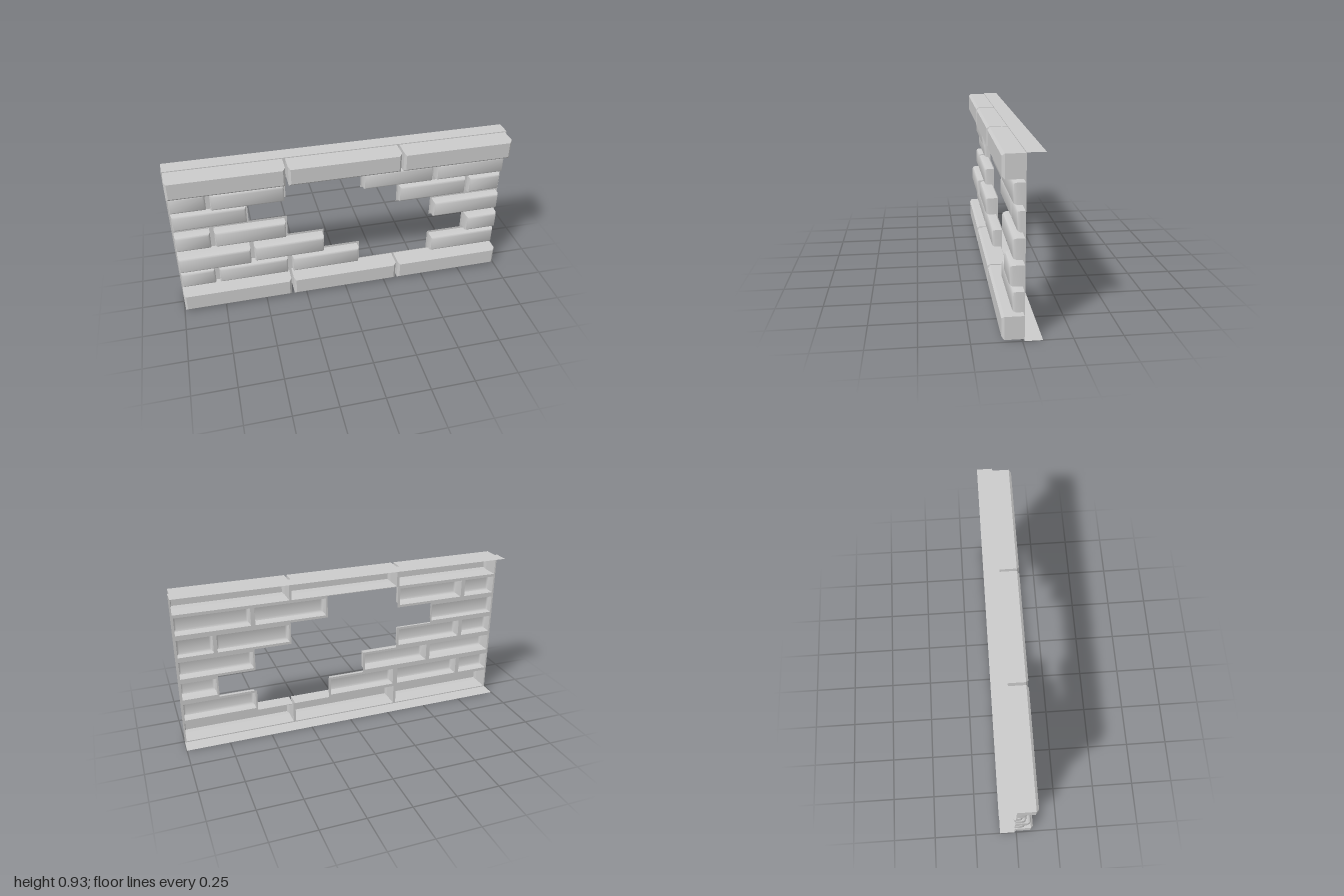
import * as THREE from 'three';
import { toCreasedNormals } from 'three/addons/utils/BufferGeometryUtils.js';

const BACK = -0.01, HEIGHT = 0.925;
const material = new THREE.MeshStandardMaterial({ color: 0xcccccc, side: THREE.DoubleSide });

// Hollow brick, open at the back; profile lists [inset, z] rings from back to front
function brickGeometry(x0, x1, y0, y1, profile, crease) {
  const pos = [], index = [];
  for (const [i, z] of profile) {
    pos.push(x0 + i, y0 + i, z, x1 - i, y0 + i, z, x1 - i, y1 - i, z, x0 + i, y1 - i, z);
  }
  for (let r = 0; r < profile.length - 1; r++) {
    for (let k = 0; k < 4; k++) {
      const a = r * 4 + k, b = r * 4 + (k + 1) % 4;
      index.push(a, b, b + 4, a, b + 4, a + 4);
    }
  }
  const f = (profile.length - 1) * 4;
  index.push(f, f + 1, f + 2, f, f + 2, f + 3);
  const g = new THREE.BufferGeometry();
  g.setAttribute('position', new THREE.Float32BufferAttribute(pos, 3));
  g.setIndex(index);
  return toCreasedNormals(g, crease);
}

function rectPath(x0, x1, y0, y1) {
  return new THREE.Path([[x0, y0], [x0, y1], [x1, y1], [x1, y0]].map(p => new THREE.Vector2(...p)));
}

// Small brick courses, bottom to top: [left edge, right edge, front z]
const courses = [
  [[-0.99, -0.79, 0.05], [-0.765, -0.35, 0.05], [-0.32, 0.095, 0.05], [0.565, 0.985, 0.05]],
  [[-0.99, -0.57, 0.08], [-0.545, -0.127, 0.065], [0.785, 0.985, 0.065]],
  [[-0.99, -0.79, 0.05], [-0.765, -0.35, 0.05], [0.565, 0.985, 0.05]],
  [[-0.99, -0.57, 0.03], [0.345, 0.763, 0.03], [0.785, 0.985, 0.03]],
  [[-0.99, -0.79, 0.05], [-0.765, -0.35, 0.065], [0.12, 0.54, 0.05], [0.565, 0.985, 0.05]],
];
// Left and right edges of the breach beside each course
const breach = [[0.11, 0.555], [-0.115, 0.775], [-0.335, 0.555], [-0.56, 0.335], [-0.335, 0.11]];
const PITCH = 0.1333, FIRST = 0.131;

export function createModel() {
  const group = new THREE.Group();
  const add = (geometry, name) => {
    const mesh = new THREE.Mesh(geometry, material);
    mesh.name = name;
    group.add(mesh);
    return mesh;
  };

  const mortar = new THREE.Shape([[-1, 0], [1, 0], [1, HEIGHT], [-1, HEIGHT]].map(p => new THREE.Vector2(...p)));

  // Small rounded bricks
  courses.forEach((course, row) => {
    const y0 = FIRST + row * PITCH + 0.0145, y1 = y0 + 0.105;
    for (const [x0, x1, z] of course) {
      const profile = [[0, BACK], [0, z - 0.02], [0.005, z - 0.006], [0.015, z]];
      add(brickGeometry(x0, x1, y0, y1, profile, 0.9), 'brick');
      mortar.holes.push(rectPath(x0, x1, y0, y1));
    }
  });

  // Long coping bricks along the top and bottom
  const large = [[0, BACK], [0, 0.087], [0.013, 0.1]];
  for (const [name, y0, y1] of [['baseBrick', 0.006, 0.127], ['copingBrick', 0.801, 0.92]]) {
    for (const [x0, x1] of [[-0.992, -0.342], [-0.326, 0.324], [0.338, 0.99]]) {
      add(brickGeometry(x0, x1, y0, y1, large, 0.5), name);
      mortar.holes.push(rectPath(x0, x1, y0, y1));
    }
  }

  // Stepped breach through the mortar
  const left = [], right = [];
  breach.forEach(([l, r], row) => {
    const y0 = FIRST + row * PITCH, y1 = y0 + PITCH;
    left.push(new THREE.Vector2(l, y0), new THREE.Vector2(l, y1));
    right.push(new THREE.Vector2(r, y0), new THREE.Vector2(r, y1));
  });
  mortar.holes.push(new THREE.Path([...left, ...right.reverse()]));
  add(new THREE.ShapeGeometry(mortar), 'mortarSheet').position.z = BACK;

  // Thin ledges running back from the top and bottom edges
  for (const [name, y, tilt] of [['topLedge', HEIGHT, -1], ['bottomLedge', 0, 1]]) {
    const ledge = add(new THREE.PlaneGeometry(2, 0.09), name);
    ledge.rotation.x = tilt * Math.PI / 2;
    ledge.position.set(0, y, BACK - 0.045);
  }
  return group;
}
